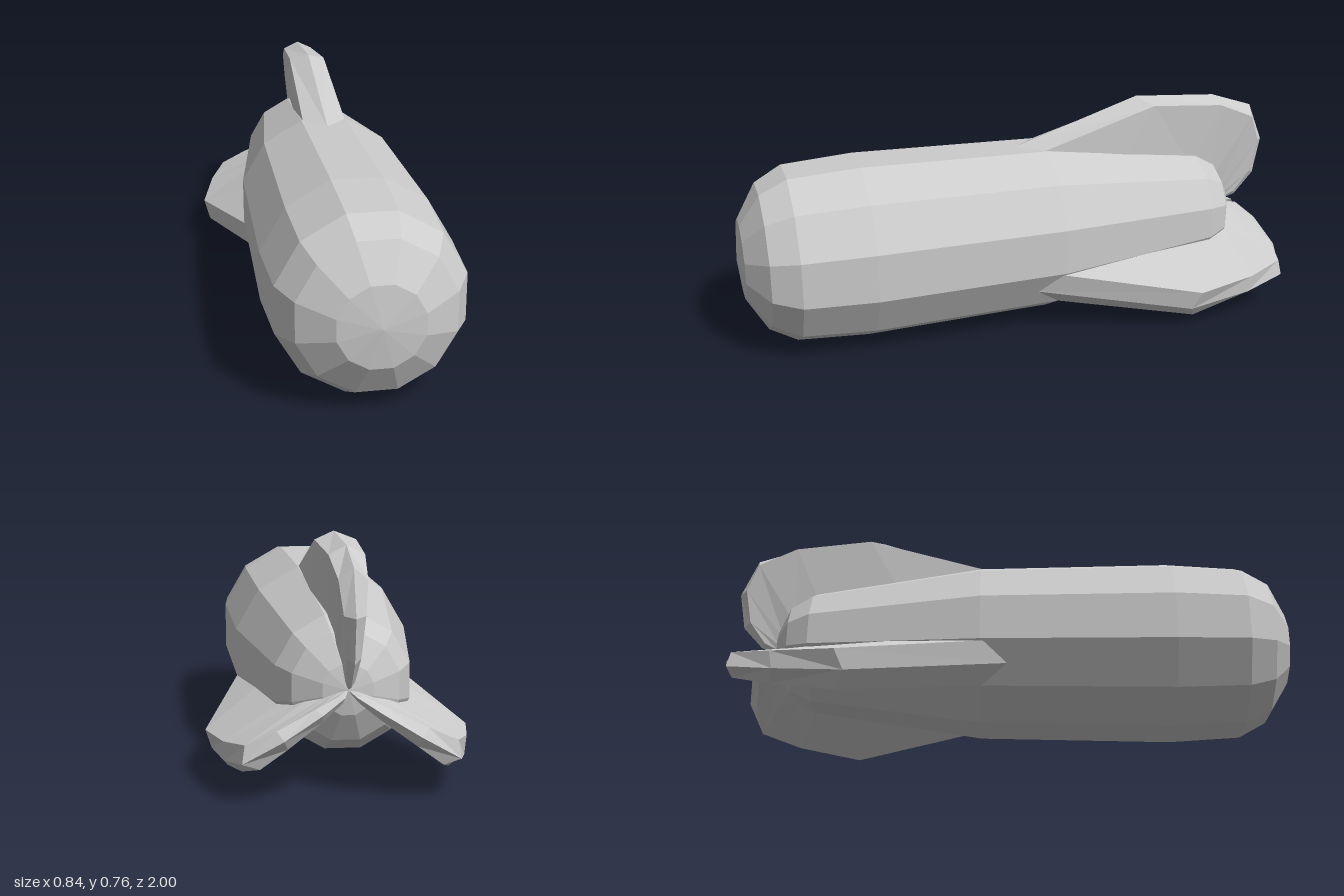
import * as THREE from 'three';

const AXIS_Y = 0.315;
const material = new THREE.MeshStandardMaterial({ color: 0xcccccc, flatShading: true });

// Twelve-sided hull, profile given as [z, radius] from tail to nose
function makeHull() {
  const profile = [
    [-0.845, 0], [-0.83, 0.08], [-0.78, 0.17], [-0.7, 0.217], [-0.1, 0.311],
    [0.57, 0.325], [0.82, 0.309], [0.915, 0.257], [0.985, 0.14], [1, 0],
  ].map(([z, r]) => new THREE.Vector2(r, z));
  const geometry = new THREE.LatheGeometry(profile, 12, Math.PI / 12);
  geometry.rotateX(Math.PI / 2);
  const hull = new THREE.Mesh(geometry, material);
  hull.name = 'hull';
  return hull;
}

// Fin pointing along +y from the hull axis. Each station holds
// ridge [z, r], shoulder [z, r, half width] and root [z, r, half width].
function makeFin(name, angle, peakRidge, peakShoulder, tailZ) {
  const stations = [
    [[0, 0.3], [-0.09, 0.3, 0.077], [-0.09, 0.296, 0.077]],
    [peakRidge, peakShoulder, [-0.4, 0.22, 0.07]],
    [[-0.78, 0.428], [-0.79, 0.4, 0.055], [-0.69, 0.17, 0.045]],
    [[-0.94, 0.375], [-0.93, 0.34, 0.043], [-0.78, 0.1, 0.03]],
    [[tailZ, 0.235], [tailZ + 0.028, 0.24, 0.032], [-0.82, 0.05, 0.015]],
    [[tailZ + 0.025, 0.1], [tailZ + 0.05, 0.115, 0.022], [-0.835, 0.025, 0.01]],
    [[-0.9, 0.02], [-0.89, 0.035, 0.012], [-0.84, 0.01, 0.005]],
    [[-0.835, 0], [-0.835, 0, 0], [-0.835, 0, 0]],
  ];
  const positions = [];
  for (const [ridge, shoulder, root] of stations) {
    for (const [[z, r, w = 0], side] of [[root, 1], [shoulder, 1], [ridge, 0], [shoulder, -1], [root, -1]]) {
      positions.push(w * side, r, z);
    }
  }
  const index = [];
  for (let i = 0; i < stations.length - 1; i++) {
    for (let j = 0; j < 4; j++) {
      const a = i * 5 + j, b = a + 1, c = a + 5, d = c + 1;
      // Mirror the diagonal so both flanks match
      if (j < 2) index.push(a, c, b, b, c, d);
      else index.push(a, c, d, a, d, b);
    }
  }
  const geometry = new THREE.BufferGeometry();
  geometry.setAttribute('position', new THREE.Float32BufferAttribute(positions, 3));
  geometry.setIndex(index);
  geometry.computeVertexNormals();
  const fin = new THREE.Mesh(geometry, material);
  fin.name = name;
  fin.rotation.z = angle;
  return fin;
}

export function createModel() {
  const model = new THREE.Group();
  model.name = 'finnedRocket';
  const body = new THREE.Group();
  body.name = 'body';
  body.position.y = AXIS_Y;
  body.add(makeHull());

  // One upright fin and a slightly longer-peaked pair below
  body.add(makeFin('topFin', 0, [-0.47, 0.45], [-0.515, 0.425, 0.067], -0.997));
  for (const [name, side] of [['leftFin', -1], ['rightFin', 1]]) {
    body.add(makeFin(name, side * THREE.MathUtils.degToRad(120.7), [-0.54, 0.466], [-0.57, 0.449, 0.068], -0.97));
  }
  model.add(body);
  return model;
}
